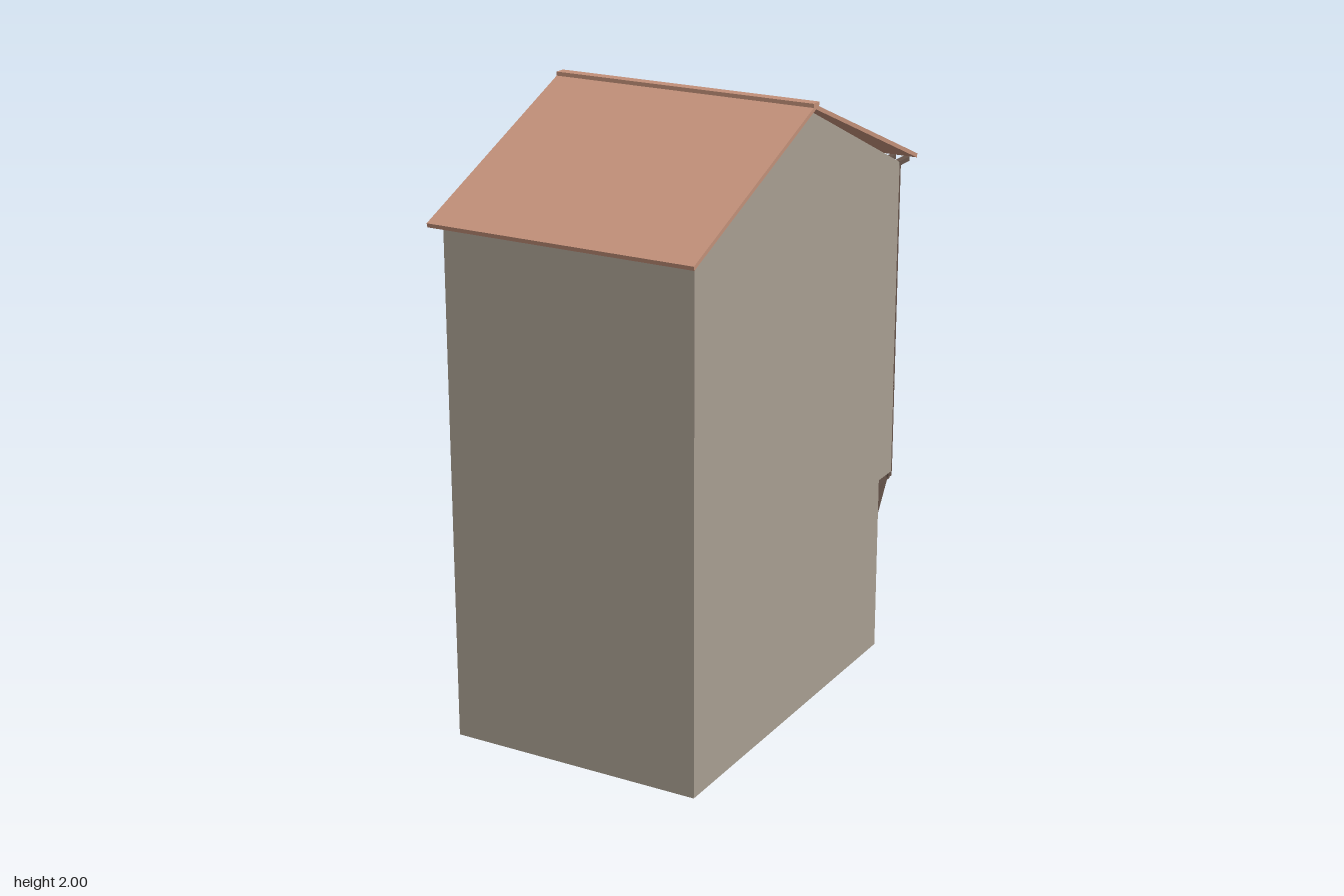
import * as THREE from 'three';

const flat = (name, color) => {
  const m = new THREE.MeshStandardMaterial({ color });
  m.name = name;
  return m;
};

export function createModel() {
  const wall = flat('plaster', 0xa89e91);
  const tile = flat('roof tile', 0xc29079);
  const timber = flat('dark timber', 0x66544a);
  const shutterWood = flat('shutter wood', 0x7b6858);
  const dark = flat('dark opening', 0x1d1d1f);
  const stone = flat('arch stone', 0x969086);
  const goodsMat = flat('market goods', 0xa59c8f);

  const model = new THREE.Group();
  model.name = 'townHouse';
  const W = 0.85;          // house width
  const zLow = -0.565;     // street wall at ground level
  const zUp = -0.66;       // street wall of the upper floors

  const add = (name, geo, mat, parent = model) => {
    const mesh = new THREE.Mesh(geo, mat);
    mesh.name = name;
    parent.add(mesh);
    return mesh;
  };
  const group = (name) => {
    const g = new THREE.Group();
    g.name = name;
    model.add(g);
    return g;
  };
  // box given by centre and size
  const box = (name, mat, x, y, z, w, h, d, parent) => {
    const m = add(name, new THREE.BoxGeometry(w, h, d), mat, parent);
    m.position.set(x, y, z);
    return m;
  };
  // solid from a [z, y] profile, running along x
  const sideProfile = (name, mat, pts, width, parent) => {
    const shape = new THREE.Shape(pts.map(([z, y]) => new THREE.Vector2(-z, y)));
    const geo = new THREE.ExtrudeGeometry(shape, { depth: width, bevelEnabled: false });
    geo.translate(0, 0, -width / 2).rotateY(Math.PI / 2);
    return add(name, geo, mat, parent);
  };
  // straight beam between two [z, y] points at a given x
  const strut = (name, mat, x, [z0, y0], [z1, y1], w, t, parent) => {
    const len = Math.hypot(z1 - z0, y1 - y0);
    const m = box(name, mat, x, (y0 + y1) / 2, (z0 + z1) / 2, w, t, len, parent);
    m.rotation.x = -Math.atan2(y1 - y0, z1 - z0);
    return m;
  };

  // House body with the overhanging upper floors
  sideProfile('houseBody', wall, [
    [0.69, 0], [zLow, 0], [zLow, 0.6], [zUp, 0.6], [zUp, 1.67], [0, 1.975], [0.69, 1.67],
  ], W);

  // Gable roof and ridge cap
  for (const s of [1, -1]) {
    sideProfile(s > 0 ? 'frontRoofSlope' : 'backRoofSlope', tile, [
      [0, 1.98], [s * 0.735, 1.672], [s * 0.738, 1.685], [0, 1.994],
    ], 0.9);
  }
  box('ridgeCap', tile, 0, 1.99, -0.002, 0.9, 0.02, 0.036);

  // Rafter tails under the street eave
  const rafters = group('rafterTails');
  for (let i = 0; i < 18; i++) {
    box('rafterTail', timber, -0.416 + i * 0.832 / 17, 1.666, -0.694, 0.02, 0.015, 0.075, rafters);
  }

  // Timber frame grid on the upper floors
  const frame = group('timberFrame');
  const floorY = [0.6, 0.957, 1.313, 1.67];
  const bayX = [0.283, 0, -0.283];
  for (const x of [-0.415, -0.142, 0.142, 0.415]) {
    box('post', timber, x, 1.135, zUp - 0.002, 0.02, 1.07, 0.01, frame);
  }
  floorY.forEach((y, i) => {
    const yy = y + (i === 0 ? 0.01 : i === 3 ? -0.01 : 0);
    box('rail', timber, 0, yy, zUp - 0.003, W, 0.022, 0.01, frame);
  });

  // Windows: closed shutters, except two open dark ones
  const windows = group('windows');
  for (let row = 0; row < 3; row++) {
    bayX.forEach((x, col) => {
      const y = 0.773 + row * 0.3555;
      const open = (row === 1 && col === 0) || (row === 0 && col === 2);
      box('windowOpening', dark, x, y, zUp - 0.001, 0.086, 0.15, 0.004, windows);
      box('windowSill', timber, x, y - 0.078, zUp - 0.003, 0.108, 0.012, 0.012, windows);
      if (open) return;
      box('windowLintel', timber, x, y + 0.076, zUp - 0.002, 0.092, 0.008, 0.008, windows);
      for (const s of [-1, 1]) {
        box('shutter', shutterWood, x + s * 0.021, y, zUp - 0.003, 0.037, 0.144, 0.005, windows);
        for (const dy of [-0.035, 0.035]) {
          box('shutterBatten', timber, x + s * 0.021, y + dy, zUp - 0.006, 0.037, 0.01, 0.006, windows);
        }
      }
    });
  }

  // Jetty: joists and diagonal brackets carrying the overhang
  const jetty = group('jetty');
  box('jettyBeam', timber, 0, 0.592, zUp + 0.008, W, 0.016, 0.026, jetty);
  for (let i = 0; i < 7; i++) {
    const x = -0.405 + i * 0.135;
    box('joist', timber, x, 0.586, -0.613, 0.026, 0.025, 0.1, jetty);
    strut('bracket', timber, x, [zLow, 0.455], [-0.645, 0.578], 0.02, 0.018, jetty);
  }

  // Ring of arch stones with alternating lengths
  const archStones = (name, cx, cy, rIn, rOut, count) => {
    const g = group(name);
    for (let i = 0; i < count; i++) {
      const step = Math.PI / count;
      const a0 = i * step + 0.025, a1 = (i + 1) * step - 0.025;
      const r = rOut - (i % 2 ? 0.01 : 0);
      const p = (rad, a) => new THREE.Vector2(cx + rad * Math.cos(a), cy + rad * Math.sin(a));
      const shape = new THREE.Shape([p(rIn, a0), p(r, a0), p(r, a1), p(rIn, a1)]);
      const geo = new THREE.ExtrudeGeometry(shape, { depth: 0.008, bevelEnabled: false });
      geo.translate(0, 0, zLow - 0.006);
      add('archStone', geo, stone, g);
    }
  };
  archStones('shopArch', -0.12, 0.385, 0.166, 0.203, 13);
  archStones('blockedDoorArch', 0.277, 0.365, 0.062, 0.094, 9);

  // Dark arched shop opening
  const shop = new THREE.Shape();
  shop.moveTo(-0.288, 0.16);
  shop.lineTo(0.048, 0.16);
  shop.lineTo(0.048, 0.385);
  shop.absarc(-0.12, 0.385, 0.168, 0, Math.PI, false);
  shop.closePath();
  const shopGeo = new THREE.ExtrudeGeometry(shop, { depth: 0.005, bevelEnabled: false, curveSegments: 16 });
  shopGeo.translate(0, 0, zLow - 0.003);
  add('shopOpening', shopGeo, dark);

  // Raised shop hatch with props
  const hatch = group('shopHatch');
  strut('hatchPanel', shutterWood, -0.12, [zLow, 0.412], [zUp, 0.446], 0.336, 0.006, hatch);
  for (const x of [-0.28, 0.04]) {
    strut('hatchProp', timber, x, [zLow, 0.345], [zUp, 0.443], 0.008, 0.007, hatch);
  }

  // Market counter with legs and goods
  const counter = group('counter');
  box('counterTop', shutterWood, -0.12, 0.243, -0.593, 0.336, 0.009, 0.056, counter);
  for (const x of [-0.275, 0.035]) {
    for (const z of [-0.57, -0.615]) {
      box('counterLeg', timber, x, 0.199, z, 0.012, 0.085, 0.009, counter);
    }
  }
  for (let i = 0; i < 6; i++) {
    box('goodsCrate', goodsMat, -0.255 + i * 0.054, 0.261, -0.59, 0.042, 0.028, 0.044, counter);
  }

  return model;
}
